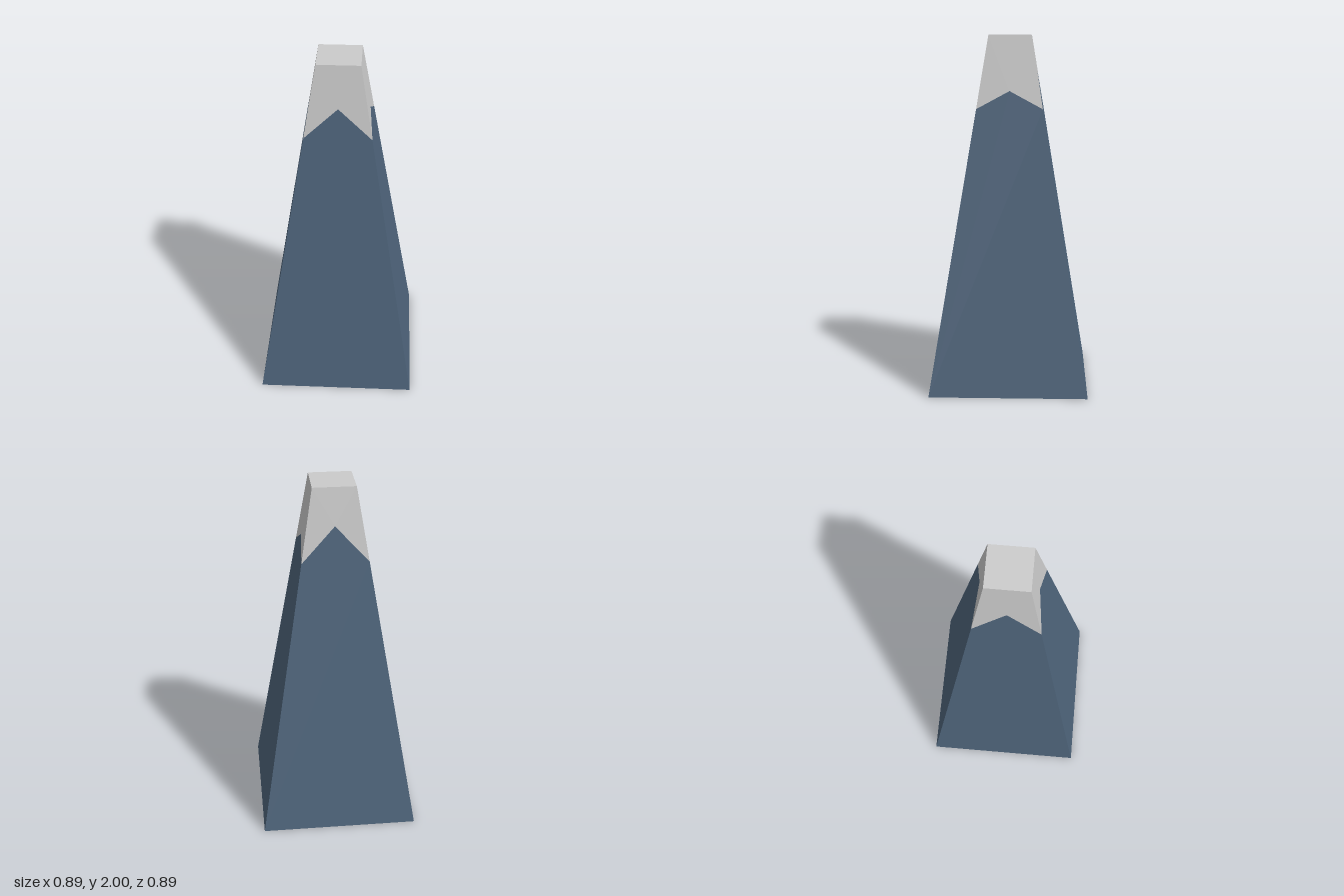
import * as THREE from 'three';

const HEIGHT = 2, BASE = 0.444, TOP = 0.12;
const SNOW_LINE = 1.59; // height of the colour change at the four corners
const halfWidth = (y) => BASE + (TOP - BASE) * y / HEIGHT;

const bodyMaterial = new THREE.MeshStandardMaterial({ color: 0x4f657c, flatShading: true });
const capMaterial = new THREE.MeshStandardMaterial({ color: 0xcccccc, flatShading: true });

// Point on the +z sloping face: side is -1 (left edge), 0 (middle) or 1 (right edge)
const facePoint = (side, y) => [side * halfWidth(y), y, halfWidth(y)];

// Flat convex panel, corners counter-clockwise, as a triangle fan
function panel(name, points, material, hub = 0) {
  const index = [];
  const n = points.length;
  for (let i = 1; i < n - 1; i++) index.push(hub, (hub + i) % n, (hub + i + 1) % n);
  const geometry = new THREE.BufferGeometry();
  geometry.setAttribute('position', new THREE.Float32BufferAttribute(points.flat(), 3));
  geometry.setIndex(index);
  const flat = geometry.toNonIndexed();
  flat.computeVertexNormals();
  const mesh = new THREE.Mesh(flat, material);
  mesh.name = name;
  return mesh;
}

// Horizontal square closing the body or the cap
function square(name, half, y, up, material) {
  const mesh = new THREE.Mesh(new THREE.PlaneGeometry(2 * half, 2 * half), material);
  mesh.rotation.x = up ? -Math.PI / 2 : Math.PI / 2;
  mesh.position.y = y;
  mesh.name = name;
  return mesh;
}

export function createModel() {
  const model = new THREE.Group();
  model.name = 'taperedPeak';
  const body = new THREE.Group();
  body.name = 'body';
  const cap = new THREE.Group();
  cap.name = 'cap';

  // Each side has its own peak height where the body rises into the cap
  const sides = [['front', 1.76], ['left', 1.69], ['back', 1.79], ['right', 1.76]];
  sides.forEach(([name, peak], i) => {
    const cornerL = facePoint(-1, SNOW_LINE), cornerR = facePoint(1, SNOW_LINE);
    const middle = facePoint(0, peak);
    const lower = panel(name + 'Slope',
      [facePoint(-1, 0), facePoint(1, 0), cornerR, middle, cornerL], bodyMaterial);
    // The cap panel is notched, so its fan starts at the notch
    const upper = panel(name + 'CapSide',
      [middle, cornerR, facePoint(1, HEIGHT), facePoint(-1, HEIGHT), cornerL], capMaterial);
    lower.rotation.y = upper.rotation.y = i * Math.PI / 2;
    body.add(lower);
    cap.add(upper);
  });

  body.add(square('underside', BASE, 0, false, bodyMaterial));
  cap.add(square('capTop', TOP, HEIGHT, true, capMaterial));
  model.add(body, cap);
  return model;
}
